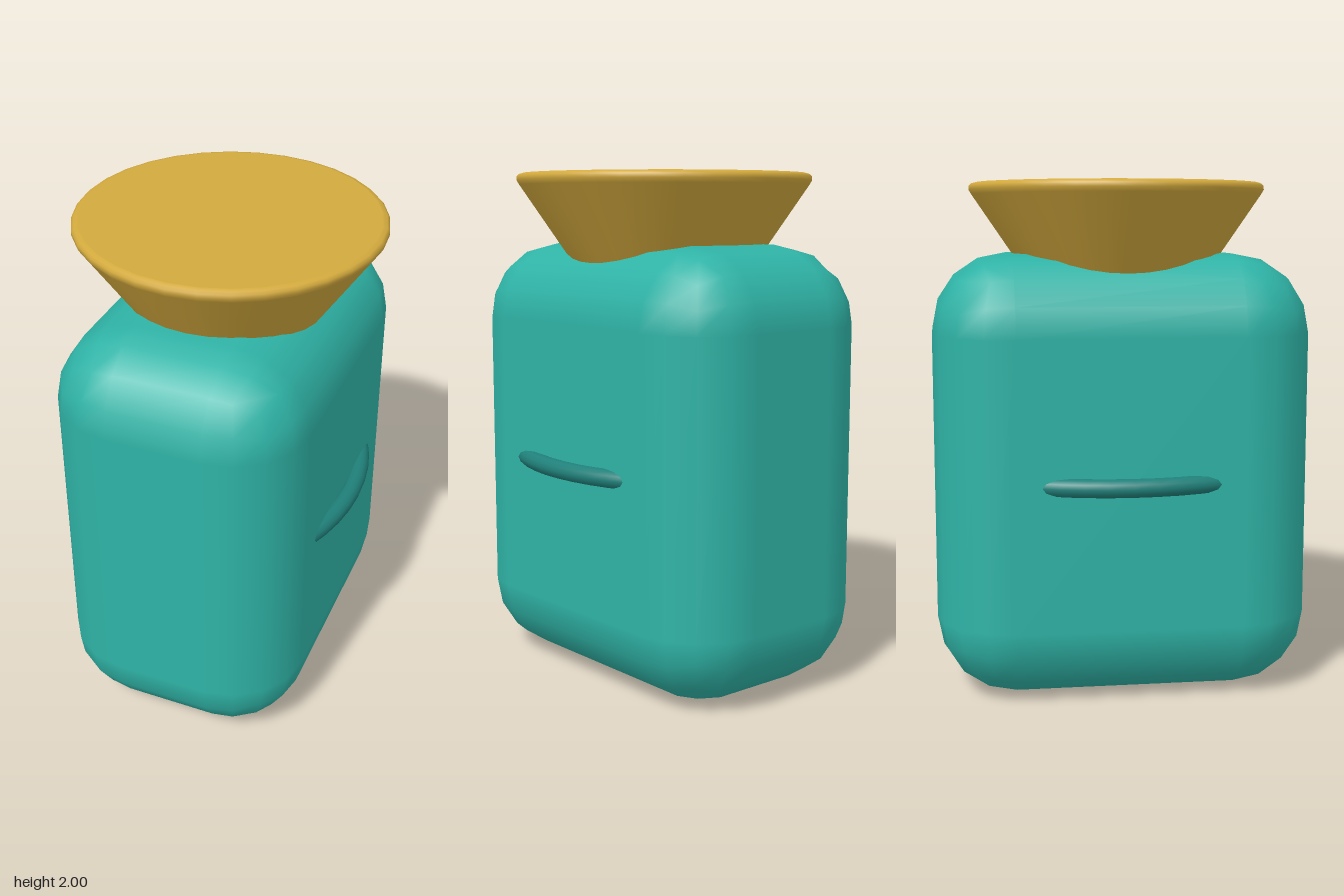
import * as THREE from 'three';

const teal = new THREE.MeshStandardMaterial({ color: 0x2fb3a6 });
teal.name = 'teal';
const darkTeal = new THREE.MeshStandardMaterial({ color: 0x20807a });
darkTeal.name = 'dark teal';
const gold = new THREE.MeshStandardMaterial({ color: 0xd2a93d });
gold.name = 'gold';

// Box with round edges: every corner is an eighth of a sphere in even angular steps
function roundedBox(w, h, d, r, steps) {
  const n = 2 * steps + 1;
  const geo = new THREE.BoxGeometry(2, 2, 2, n, n, n);
  const pos = geo.attributes.position;
  const core = new THREE.Vector3(w / 2 - r, h / 2 - r, d / 2 - r);
  const warp = (c) => {
    const u = (Math.abs(c) - 1 / n) / (1 - 1 / n);
    return Math.sign(c) * Math.tan(u * Math.PI / 4);
  };
  for (let i = 0; i < pos.count; i++) {
    const p = new THREE.Vector3().fromBufferAttribute(pos, i);
    const dir = new THREE.Vector3(warp(p.x), warp(p.y), warp(p.z)).normalize();
    geo.attributes.normal.setXYZ(i, dir.x, dir.y, dir.z);
    pos.setXYZ(i,
      Math.sign(p.x) * core.x + dir.x * r,
      Math.sign(p.y) * core.y + dir.y * r,
      Math.sign(p.z) * core.z + dir.z * r);
  }
  return geo;
}

export function createModel() {
  const model = new THREE.Group();
  const add = (name, geo, mat, y) => {
    const mesh = new THREE.Mesh(geo, mat);
    mesh.name = name;
    mesh.position.y = y;
    model.add(mesh);
    return mesh;
  };

  // Body
  add('body', roundedBox(0.98, 1.725, 1.475, 0.305, 2), teal, 0.8625);

  // Flared funnel with a rounded rim, sunk into the body
  const profile = [[0.32, 1.58], [0.575, 1.955], [0.585, 1.972], [0.584, 1.987], [0.575, 1.996], [0.56, 2]]
    .map(([x, y]) => new THREE.Vector2(x, y));
  add('funnel', new THREE.LatheGeometry(profile, 32), gold, 0);

  // Flat lid and hidden underside
  const disc = (r, turn) => new THREE.CircleGeometry(r, 32).rotateX(turn).rotateY(Math.PI / 2);
  add('lid', disc(0.56, -Math.PI / 2), gold, 2);
  add('funnelBase', disc(0.32, Math.PI / 2), gold, 1.58);

  // Oval ring inside the body, showing as a grip on each side
  const ring = new THREE.TorusGeometry(0.522, 0.036, 12, 48).rotateX(Math.PI / 2).scale(1, 1, 1.28);
  add('sideGrips', ring, darkTeal, 0.866);

  return model;
}
